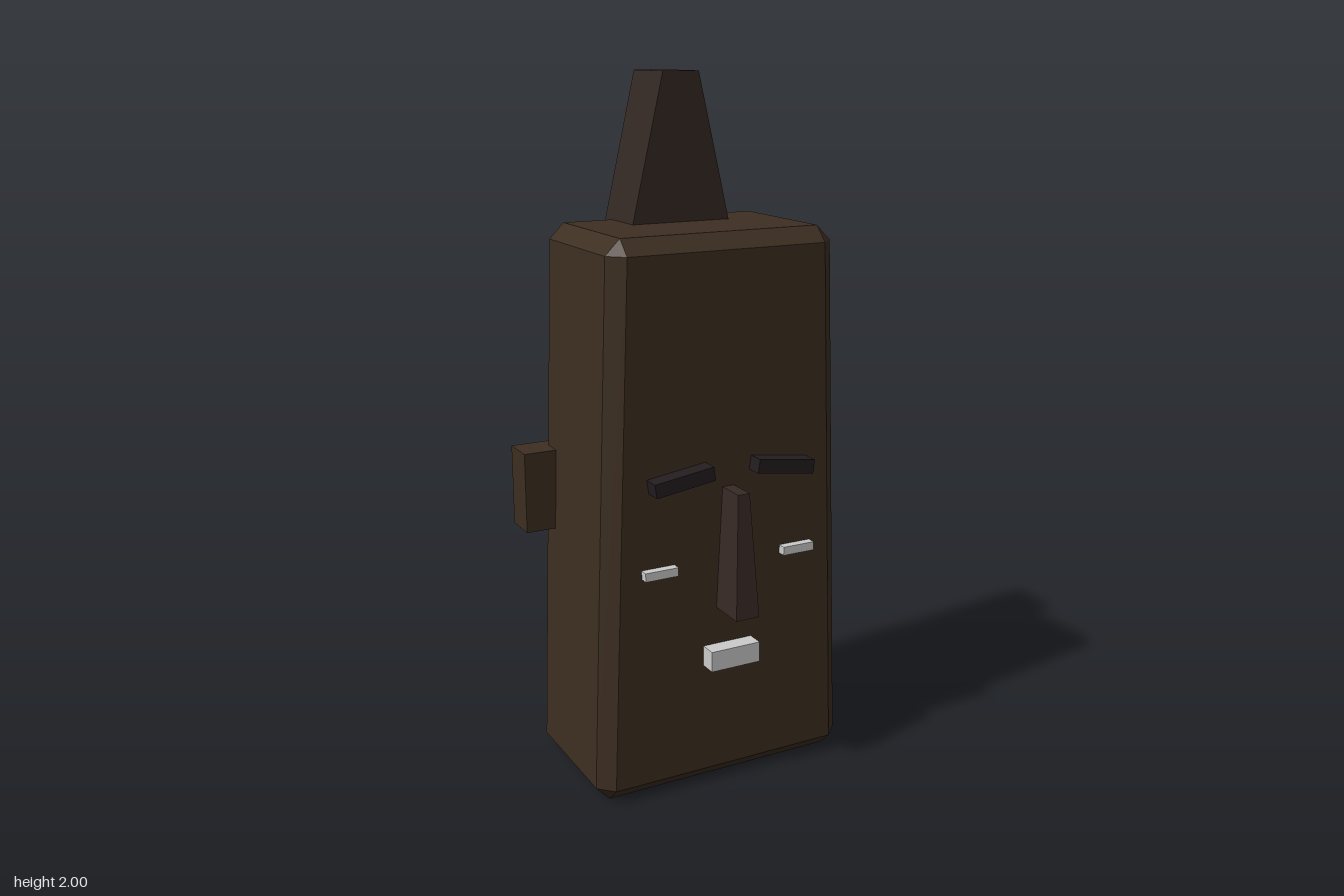
import * as THREE from 'three';

const material = (color) => new THREE.MeshStandardMaterial({ color, flatShading: true });

// Chamfered rectangle in x and z, counter-clockwise from above; c = 0 gives sharp corners
function ring(y, hx, z0, z1, c) {
  return [
    [hx, y, z1 - c], [hx, y, z0 + c], [hx - c, y, z0], [-hx + c, y, z0],
    [-hx, y, z0 + c], [-hx, y, z1 - c], [-hx + c, y, z1], [hx - c, y, z1],
  ];
}

// Skin stacked rings from bottom to top, with optional flat caps
function loft(rings, capBottom, capTop) {
  const p = [];
  const n = rings[0].length;
  for (let r = 0; r < rings.length - 1; r++) {
    for (let i = 0; i < n; i++) {
      const j = (i + 1) % n;
      const a = rings[r][i], b = rings[r][j], c = rings[r + 1][j], d = rings[r + 1][i];
      p.push(...a, ...b, ...c, ...a, ...c, ...d);
    }
  }
  const first = rings[0], last = rings[rings.length - 1];
  for (let i = 1; i < n - 1; i++) {
    if (capTop) p.push(...last[0], ...last[i], ...last[i + 1]);
    if (capBottom) p.push(...first[0], ...first[i + 1], ...first[i]);
  }
  const g = new THREE.BufferGeometry();
  g.setAttribute('position', new THREE.Float32BufferAttribute(p, 3));
  g.computeVertexNormals();
  return g;
}

export function createModel() {
  const model = new THREE.Group();
  model.name = 'carvedHead';
  const skin = material(0x3d2e21);
  const hair = material(0x342923);
  const noseColor = material(0x382a26);
  const browColor = material(0x231d20);
  const pale = material(0xcccccc);

  const add = (name, geometry, mat, x = 0, y = 0, z = 0) => {
    const mesh = new THREE.Mesh(geometry, mat);
    mesh.name = name;
    mesh.position.set(x, y, z);
    model.add(mesh);
    return mesh;
  };
  const box = (name, w, h, d, mat, x, y, z) => add(name, new THREE.BoxGeometry(w, h, d), mat, x, y, z);

  // Tapered head with chamfered edges, hollow and open underneath
  const back = -0.288, front = 0.173, c = 0.043;
  const shell = skin.clone();
  shell.side = THREE.DoubleSide;
  add('head', loft([
    ring(0, 0.357, back + c, front - c, 0),
    ring(c, 0.398, back, front, c),
    ring(1.548, 0.341, back, front, c),
    ring(1.591, 0.298, back + c, front - c, 0),
  ], false, true), shell);

  // Tall tapered topknot, flush with the back
  add('topknot', loft([
    ring(1.55, 0.16, back, -0.105, 0),
    ring(2, 0.055, back, -0.105, 0),
  ], true, true), hair);

  // Nose, wider and deeper at the bottom
  add('nose', loft([
    ring(0.54, 0.036, 0.16, 0.288, 0),
    ring(0.895, 0.018, 0.16, 0.26, 0),
  ], true, true), noseColor);

  box('mouth', 0.154, 0.06, 0.06, pale, 0, 0.4, 0.193);

  // Paired features
  for (const [side, s] of [['left', 1], ['right', -1]]) {
    box(side + 'Ear', 0.14, 0.235, 0.103, skin, s * 0.39, 0.837, -0.2365);
    box(side + 'Eye', 0.1, 0.025, 0.035, pale, s * 0.218, 0.68, 0.1805);
    const brow = box(side + 'Brow', 0.18, 0.04, 0.06, browColor, s * 0.158, 0.941, 0.193);
    brow.rotation.z = -s * 0.14;
  }
  return model;
}
